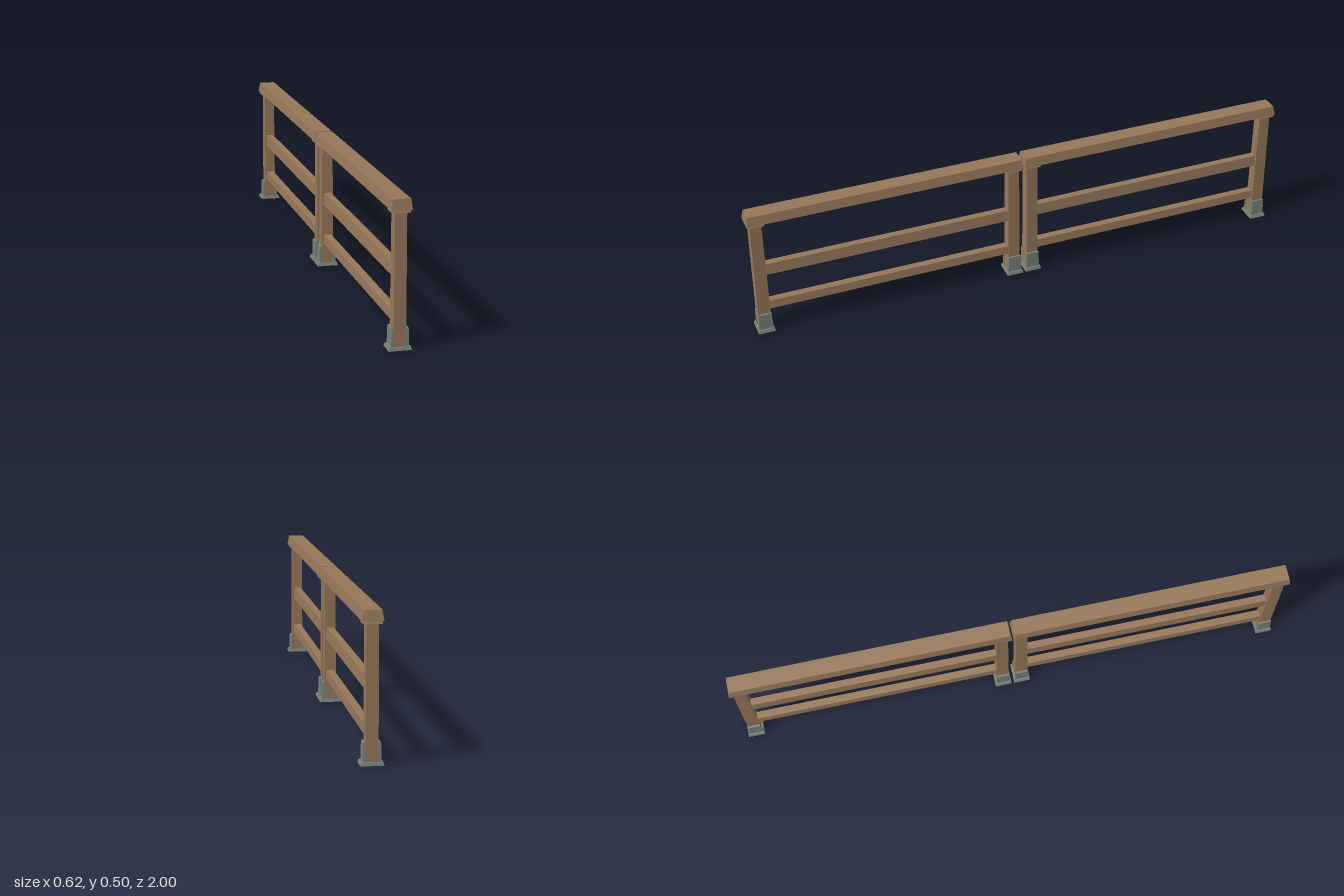
import * as THREE from 'three';

const wood = new THREE.MeshStandardMaterial({ color: 0x97785a });
wood.name = 'brown wood';
const metal = new THREE.MeshStandardMaterial({ color: 0x788079 });
metal.name = 'grey metal';

// Block standing from y0 to y1 whose top is narrower than its bottom
function taperedBlock(name, material, [w, d], [topW, topD], y0, y1, x = 0, z = 0) {
  const geometry = new THREE.BoxGeometry(w, y1 - y0, d);
  const p = geometry.attributes.position;
  for (let i = 0; i < p.count; i++) {
    if (p.getY(i) > 0) {
      p.setX(i, p.getX(i) * topW / w);
      p.setZ(i, p.getZ(i) * topD / d);
    }
  }
  geometry.computeVertexNormals();
  const mesh = new THREE.Mesh(geometry, material);
  mesh.name = name;
  mesh.position.set(x, (y0 + y1) / 2, z);
  return mesh;
}

// Post with foot plate, side brackets and cap
function createPost(z) {
  const post = new THREE.Group();
  post.name = 'post';
  post.position.z = z;
  post.add(
    taperedBlock('footPlate', metal, [0.077, 0.063], [0.07, 0.057], 0, 0.011),
    taperedBlock('postShaft', wood, [0.042, 0.046], [0.039, 0.042], 0.011, 0.451),
    taperedBlock('postCap', wood, [0.062, 0.06], [0.056, 0.054], 0.45, 0.46),
  );
  for (const side of [-1, 1]) {
    post.add(taperedBlock('sideBracket', metal, [0.01, 0.052], [0.008, 0.047], 0.011, 0.073, side * 0.0245));
  }
  return post;
}

// One fence section: two posts, a handrail and two lower rails
function createSection(z) {
  const section = new THREE.Group();
  section.name = 'fenceSection';
  section.position.z = z;
  for (const end of [-1, 1]) section.add(createPost(end * 0.479));
  section.add(
    taperedBlock('handrail', wood, [0.07, 1.026], [0.059, 1.014], 0.459, 0.495),
    taperedBlock('middleRail', wood, [0.032, 0.92], [0.026, 0.92], 0.234, 0.277),
    taperedBlock('lowerRail', wood, [0.032, 0.92], [0.027, 0.92], 0.086, 0.118),
  );
  return section;
}

export function createModel() {
  const fence = new THREE.Group();
  fence.name = 'fence';
  for (const end of [-1, 1]) fence.add(createSection(end * 0.515));
  fence.rotation.y = THREE.MathUtils.degToRad(15.5);
  const model = new THREE.Group();
  model.name = 'woodenRailing';
  model.add(fence);
  return model;
}
